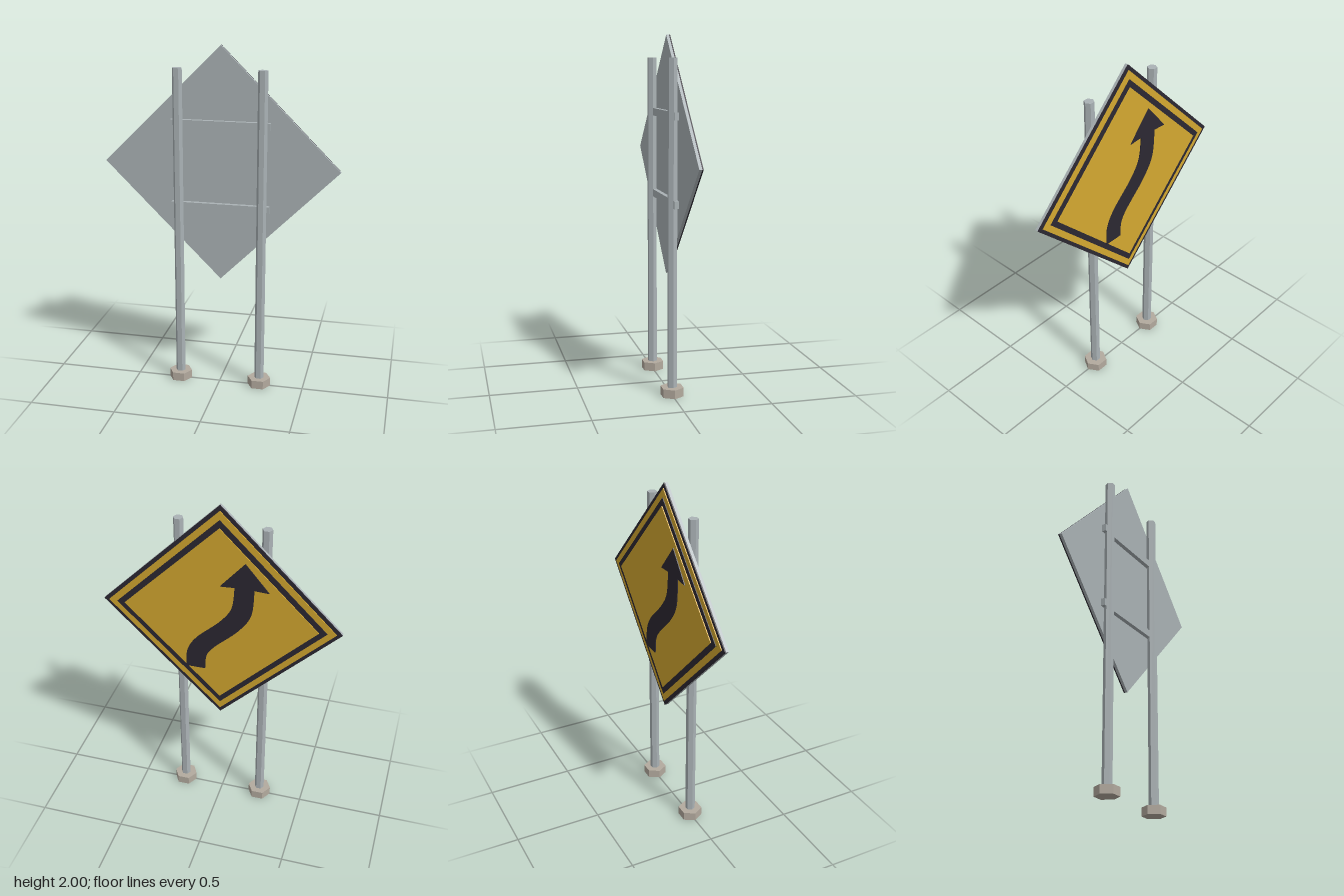
import * as THREE from 'three';

const material = (color) => new THREE.MeshStandardMaterial({ color, flatShading: true });

export function createModel() {
  const sign = new THREE.Group();
  sign.name = 'roadSign';
  const steel = material(0xaab2b5);
  const concrete = material(0xb3aa9e);
  const yellow = material(0xd4a830);
  const black = material(0x2c2832);
  const centreY = 1.325;

  const add = (name, geometry, mat, x, y, z, parent = sign) => {
    const mesh = new THREE.Mesh(geometry, mat);
    mesh.name = name;
    mesh.position.set(x, y, z);
    parent.add(mesh);
    return mesh;
  };

  // Hexagonal prism with corners on the x axis
  const hexPrism = (radius, height) =>
    new THREE.CylinderGeometry(radius, radius, height, 6).rotateY(Math.PI / 6);

  // Posts standing on concrete footings
  for (const [side, x] of [['left', 0.24], ['right', -0.24]]) {
    add(side + 'Footing', hexPrism(0.068, 0.05), concrete, x, 0.025, 0);
    add(side + 'Post', hexPrism(0.028, 1.825), steel, x, 0.9625, 0);
  }

  // Rails joining the posts to the panel
  add('upperRail', new THREE.BoxGeometry(0.566, 0.043, 0.026), steel, 0, 1.565, -0.013);
  add('lowerRail', new THREE.BoxGeometry(0.566, 0.043, 0.026), steel, 0, 1.088, -0.013);

  // Diamond panel as stacked layers: name, half diagonal, near z, far z, material
  const panel = new THREE.Group();
  panel.name = 'panel';
  sign.add(panel);
  const layers = [
    ['backingPlate', 0.675, -0.025, -0.041, steel],
    ['outerBorder', 0.675, -0.041, -0.048, black],
    ['outerField', 0.645, -0.048, -0.053, yellow],
    ['innerBorder', 0.595, -0.053, -0.057, black],
    ['innerField', 0.55, -0.057, -0.062, yellow],
  ];
  for (const [name, r, z0, z1, mat] of layers) {
    const side = r * Math.SQRT2;
    const geometry = new THREE.BoxGeometry(side, side, z0 - z1).rotateZ(Math.PI / 4);
    add(name, geometry, mat, 0, centreY, (z0 + z1) / 2, panel);
  }

  // Winding arrow: two curved shaft edges and a triangular head
  const v = (x, y) => new THREE.Vector2(x, y);
  const shape = new THREE.Shape();
  shape.moveTo(0.195, -0.362);
  shape.splineThru([v(0.187, -0.25), v(0.132, -0.155), v(0, -0.027), v(-0.068, 0.075), v(-0.085, 0.21)]);
  shape.lineTo(-0.003, 0.205);
  shape.lineTo(-0.142, 0.365);
  shape.lineTo(-0.275, 0.205);
  shape.lineTo(-0.193, 0.21);
  shape.splineThru([v(-0.178, 0.047), v(-0.105, -0.07), v(0.028, -0.2), v(0.075, -0.27), v(0.085, -0.362)]);
  shape.closePath();
  const arrow = new THREE.ExtrudeGeometry(shape, { depth: 0.005, bevelEnabled: false, curveSegments: 20 });
  add('windingArrow', arrow, black, 0, centreY, -0.067, panel);

  return sign;
}
